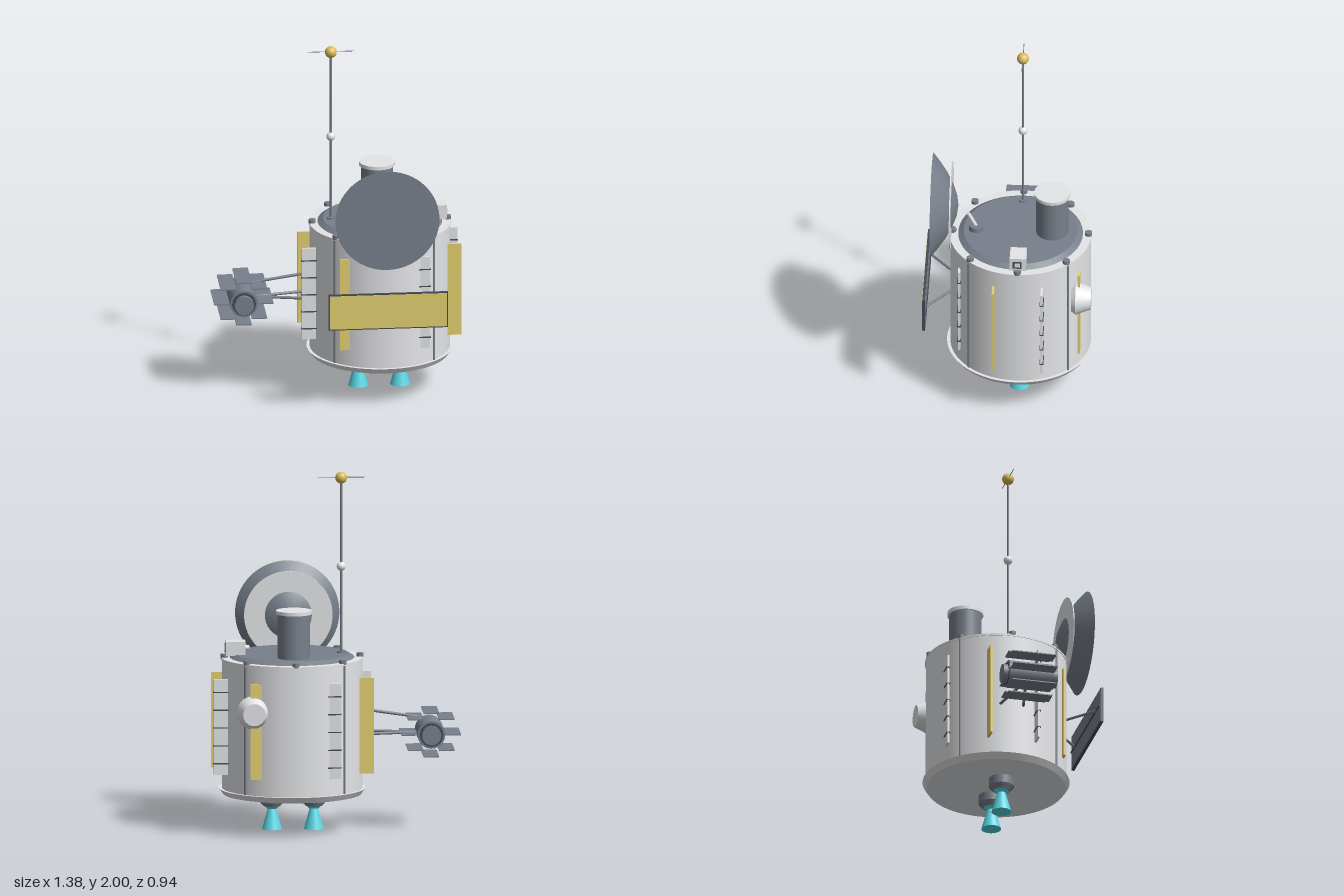
import * as THREE from 'three';

const mat = (name, color) => Object.assign(new THREE.MeshStandardMaterial({ color }), { name });

export function createModel() {
  const light = mat('light hull', 0xe4e5e7);
  const grey = mat('slate grey', 0x78808b);
  const dark = mat('dark metal', 0x454a54);
  const gold = mat('gold', 0xe4d070);
  const ballGold = mat('deep gold', 0xdcbc5c);
  const cyan = mat('cyan nozzle', 0x5ce0ee);
  grey.side = THREE.DoubleSide;
  const model = new THREE.Group();
  model.name = 'spacecraft';
  const CX = 0.242, CZ = -0.061; // hull axis

  const add = (name, geo, m, x = 0, y = 0, z = 0, parent = model) => {
    const mesh = new THREE.Mesh(geo, m);
    mesh.name = name;
    mesh.position.set(x, y, z);
    parent.add(mesh);
    return mesh;
  };
  const group = (name, x, y, z) => {
    const g = new THREE.Group();
    g.name = name;
    g.position.set(x, y, z);
    model.add(g);
    return g;
  };
  const cyl = (rTop, rBottom, h, n = 32) => new THREE.CylinderGeometry(rTop, rBottom, h, n);
  const box = (w, h, d) => new THREE.BoxGeometry(w, h, d);
  const rod = (name, a, b, r, m) => {
    const A = new THREE.Vector3(...a), B = new THREE.Vector3(...b);
    const dir = B.clone().sub(A);
    const mesh = add(name, cyl(r, r, dir.length(), 12), m);
    mesh.position.copy(A).add(B).multiplyScalar(0.5);
    mesh.quaternion.setFromUnitVectors(new THREE.Vector3(0, 1, 0), dir.normalize());
    return mesh;
  };

  // Hull with base ring, upper rim and sloped deck
  add('hull', cyl(0.39, 0.39, 0.74, 64), light, CX, 0.592, CZ);
  add('baseRing', cyl(0.408, 0.385, 0.033, 64), light, CX, 0.217, CZ);
  add('upperRim', cyl(0.394, 0.394, 0.012, 64), light, CX, 0.959, CZ);
  add('topDeck', cyl(0.315, 0.352, 0.024, 64), grey, CX, 0.973, CZ);

  // Rim knobs, and longerons on the diagonals
  for (let i = 0; i < 8; i++) {
    const a = (i * Math.PI) / 4, c = Math.cos(a), s = Math.sin(a);
    add('rimKnob', cyl(0.02, 0.02, 0.024, 16), grey, CX + c * 0.377, 0.972, CZ + s * 0.377);
    if (i % 2) add('longeron', cyl(0.007, 0.007, 0.72, 8), grey, CX + c * 0.389, 0.593, CZ + s * 0.389);
  }

  // Eight side panels, alternating gold plates and ribbed light plates
  const spots = [[0.403, 0.133], [0.21, 0.33], [-0.212, 0.33], [-0.407, 0.133],
    [-0.407, -0.137], [-0.212, -0.335], [0.21, -0.335], [0.403, -0.137]];
  spots.forEach(([dx, dz], i) => {
    const isGold = i % 2 === 0;
    const x = CX + dx, z = CZ + dz;
    add(isGold ? 'goldSidePanel' : 'ribbedSidePanel', box(0.08, 0.535, 0.013), isGold ? gold : light, x, 0.595, z);
    if (!isGold) for (let k = 0; k < 5; k++) add('panelRib', box(0.086, 0.006, 0.022), dark, x, 0.39 + k * 0.1, z);
  });

  // Twin thrusters
  for (const x of [0.121, 0.354]) {
    const g = group('thruster', x, 0, CZ);
    add('thrusterMount', cyl(0.07, 0.07, 0.05), grey, 0, 0.177, 0, g);
    add('thrusterStep', cyl(0.066, 0.06, 0.012), grey, 0, 0.147, 0, g);
    add('thrusterCollar', cyl(0.054, 0.048, 0.012), grey, 0, 0.136, 0, g);
    add('thrusterNeck', cyl(0.043, 0.028, 0.016), cyan, 0, 0.123, 0, g);
    add('nozzle', cyl(0.022, 0.055, 0.12), cyan, 0, 0.06, 0, g);
  }

  // Mast with beads and crossbar
  const MX = -0.031;
  add('mastFoot', cyl(0.022, 0.022, 0.015, 16), grey, MX, 0.987, CZ);
  rod('mast', [MX, 0.97, CZ], [MX, 1.97, CZ], 0.0065, grey);
  rod('mastCrossbar', [MX - 0.131, 1.97, CZ], [MX + 0.131, 1.97, CZ], 0.002, grey);
  add('mastTipBall', new THREE.SphereGeometry(0.033, 24, 16), ballGold, MX, 1.967, CZ);
  add('mastBead', new THREE.SphereGeometry(0.025, 24, 16), light, MX, 1.47, CZ);

  // Deck tower
  add('tower', cyl(0.09, 0.09, 0.26, 40), grey, CX, 1.105, -0.237);
  add('towerCap', cyl(0.1, 0.1, 0.02, 40), light, CX, 1.242, -0.237);

  // Dish: curved back, flat face and ring plate
  const profile = [[0, 0], [0.06, 0.009], [0.12, 0.032], [0.18, 0.064], [0.24, 0.106], [0.29, 0.147]];
  const dish = group('dish', CX - 0.002, 1.14, 0.284);
  const back = new THREE.LatheGeometry(profile.map(([r, h]) => new THREE.Vector2(r, h)), 64);
  add('dishBack', back, grey, 0, 0, 0, dish).rotation.x = Math.PI / 2;
  add('dishFace', new THREE.CircleGeometry(0.29, 64), grey, 0, 0, 0.147, dish);
  add('dishRing', cyl(0.246, 0.246, 0.005, 64), light, 0, 0, 0.04, dish).rotation.x = Math.PI / 2;
  add('dishPivot', cyl(0.04, 0.042, 0.03, 24), grey, CX, 0.998, 0.185);
  rod('dishStalk', [CX, 1.005, 0.187], [CX, 1.09, 0.23], 0.011, light);

  // Deck camera
  add('cameraFoot', box(0.06, 0.03, 0.05), grey, 0.557, 0.972, -0.065);
  add('cameraBox', box(0.11, 0.08, 0.09), light, 0.557, 1.018, -0.063);
  add('cameraLens', cyl(0.014, 0.014, 0.024, 16), light, 0.492, 1.018, -0.063).rotation.z = Math.PI / 2;
  add('cameraWindowFrame', box(0.004, 0.045, 0.05), dark, 0.613, 1.016, -0.06);
  add('cameraWindow', box(0.006, 0.028, 0.03), light, 0.6135, 1.016, -0.06);

  // Tapered sensor pod at the back
  add('sensorPod', cyl(0.062, 0.094, 0.085, 32), light, 0.475, 0.7, -0.422).rotation.x = -Math.PI / 2;
  add('sensorPodBase', cyl(0.094, 0.075, 0.025, 32), light, 0.475, 0.7, -0.367).rotation.x = -Math.PI / 2;

  // Front gold panel on two struts
  const PY = 0.62;
  add('frontPanelFrame', box(0.665, 0.208, 0.014), dark, CX, PY, 0.462);
  add('frontPanelFace', box(0.652, 0.195, 0.006), gold, CX, PY, 0.468);
  add('frontPanelBack', box(0.645, 0.188, 0.006), grey, CX, PY, 0.454);
  add('frontPanelRib', box(0.645, 0.01, 0.008), dark, CX, PY, 0.45);
  for (const s of [-1, 1]) rod('frontPanelStrut', [CX + s * 0.08, PY, 0.31], [CX + s * 0.25, PY, 0.455], 0.007, grey);

  // Slatted drum on the right side, held by three arms
  const DX = -0.525, DY = 0.538, DZ = -0.066;
  const alongZ = (name, geo, m, z = DZ) => { add(name, geo, m, DX, DY, z).rotation.x = Math.PI / 2; };
  alongZ('drum', cyl(0.077, 0.077, 0.25), grey);
  alongZ('drumBand', cyl(0.066, 0.066, 0.256), dark);
  alongZ('drumHub', cyl(0.053, 0.053, 0.31), grey);
  for (let i = 0; i < 8; i++) {
    const a = (i * Math.PI) / 4;
    add('drumSlat', box(0.086, 0.006, 0.25), grey, DX + Math.cos(a) * 0.122, DY + Math.sin(a) * 0.122, DZ);
  }
  rod('drumUpperArm', [-0.48, 0.62, DZ], [-0.14, 0.67, DZ], 0.008, grey);
  for (const s of [-1, 1]) rod('drumLowerArm', [-0.465, DY, DZ], [-0.135, DY, DZ + s * 0.066], 0.008, grey);

  return model;
}
